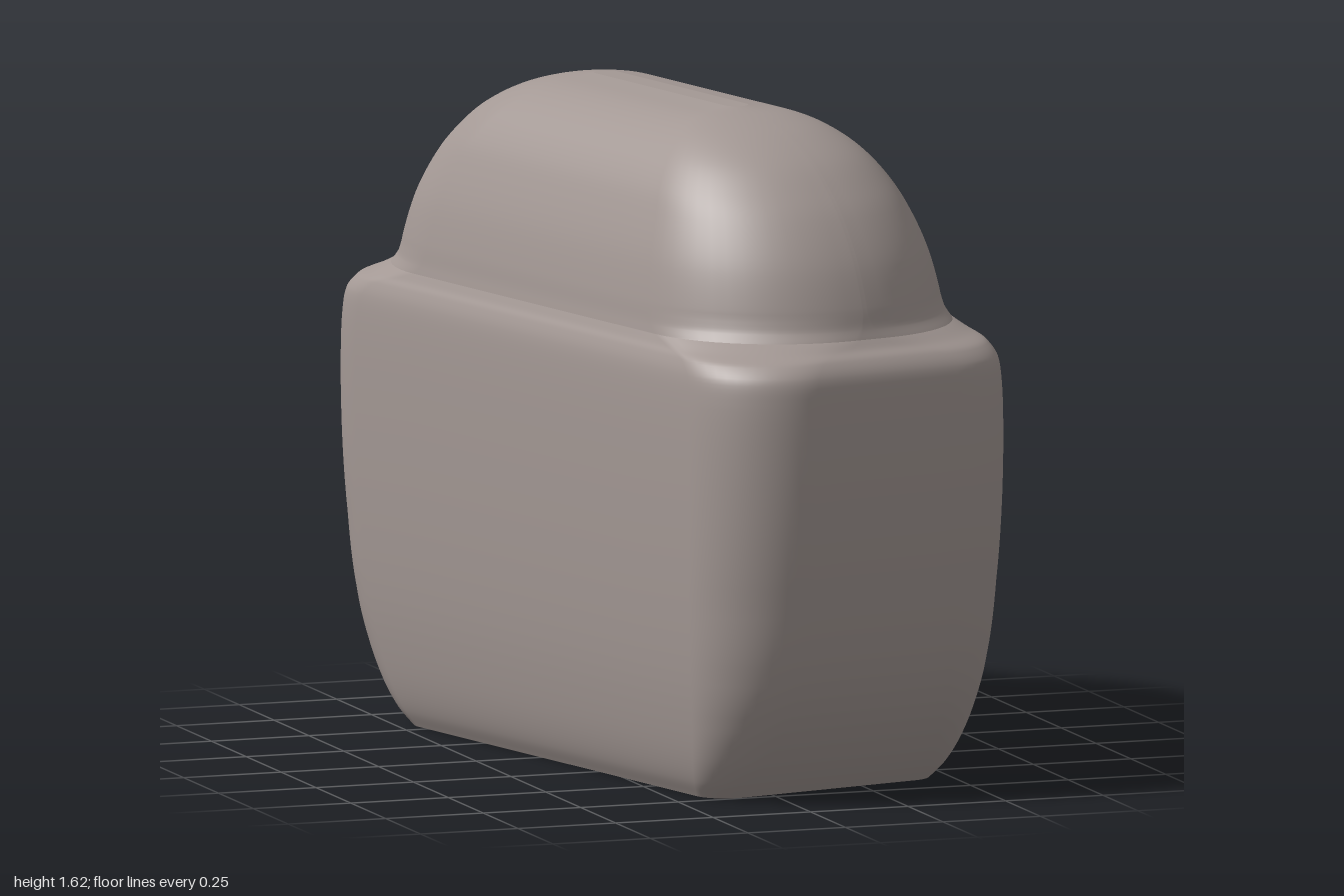
import * as THREE from 'three';

const CORNER_STEPS = 14;
const SIDE_STEPS = 6;

// Rounded rectangle outline in x/z; corner radii run +x front, -x front, -x back, +x back
function outline(a, b, r, bias) {
  const pts = [];
  const signs = [[1, 1], [-1, 1], [-1, -1], [1, -1]];
  const corners = signs.map(([sx, sz], q) => {
    const rr = Math.min(r * bias[q], a * 0.98, b * 0.98);
    const arc = [];
    for (let i = 0; i <= CORNER_STEPS; i++) {
      const t = (q + i / CORNER_STEPS) * Math.PI / 2;
      arc.push([sx * (a - rr) + rr * Math.cos(t), sz * (b - rr) + rr * Math.sin(t)]);
    }
    return arc;
  });
  corners.forEach((arc, q) => {
    pts.push(...arc);
    const p = arc[CORNER_STEPS], n = corners[(q + 1) % 4][0];
    for (let i = 1; i < SIDE_STEPS; i++) {
      const t = i / SIDE_STEPS;
      pts.push([p[0] + (n[0] - p[0]) * t, p[1] + (n[1] - p[1]) * t]);
    }
  });
  return pts;
}

// Smoothly interpolates rows of [y, halfWidth, halfLength, radius]
function refine(rows, count) {
  const size = new THREE.CatmullRomCurve3(rows.map(r => new THREE.Vector3(r[1], r[0], r[2])), false, 'centripetal');
  const out = [];
  for (let i = 0; i <= count; i++) {
    const t = i / count, f = t * (rows.length - 1);
    const k = Math.min(Math.floor(f), rows.length - 2);
    const p = size.getPoint(t);
    out.push([p.y, p.x, p.z, THREE.MathUtils.lerp(rows[k][3], rows[k + 1][3], f - k)]);
  }
  return out;
}

function loft(rows, biasAt) {
  const pos = [], idx = [];
  let n = 0;
  rows.forEach(([y, a, b, r]) => {
    const ring = outline(a, b, r, biasAt(y));
    n = ring.length;
    ring.forEach(([x, z]) => pos.push(x, y, z));
  });
  for (let j = 0; j < rows.length - 1; j++) {
    for (let i = 0; i < n; i++) {
      const p = j * n + i, q = j * n + (i + 1) % n;
      idx.push(p, p + n, q, q, p + n, q + n);
    }
  }
  const g = new THREE.BufferGeometry();
  g.setAttribute('position', new THREE.Float32BufferAttribute(pos, 3));
  g.setIndex(idx);
  g.computeVertexNormals();
  return g;
}

// Flat end face, facing up or down
function cap([y, a, b, r], bias, up) {
  const ring = outline(a, b, r, bias);
  const pos = [0, y, 0], idx = [];
  ring.forEach(([x, z]) => pos.push(x, y, z));
  for (let i = 0; i < ring.length; i++) {
    const p = 1 + i, q = 1 + (i + 1) % ring.length;
    idx.push(0, up ? q : p, up ? p : q);
  }
  const g = new THREE.BufferGeometry();
  g.setAttribute('position', new THREE.Float32BufferAttribute(pos, 3));
  g.setIndex(idx);
  g.computeVertexNormals();
  return g;
}

export function createModel() {
  const model = new THREE.Group();
  const taupe = new THREE.MeshStandardMaterial({ color: 0xa39894 });
  taupe.name = 'warm grey';

  // Lower block: narrow foot, bulging walls, rounded ledge
  const block = refine([
    [0, 0.325, 0.705, 0.08], [0.04, 0.348, 0.75, 0.1], [0.1, 0.368, 0.805, 0.13],
    [0.2, 0.388, 0.872, 0.17], [0.32, 0.404, 0.921, 0.2], [0.5, 0.417, 0.955, 0.22],
    [0.75, 0.425, 0.975, 0.225], [0.98, 0.425, 0.972, 0.225], [1.05, 0.42, 0.963, 0.23],
    [1.085, 0.41, 0.94, 0.25], [1.105, 0.4, 0.912, 0.3], [1.125, 0.392, 0.892, 0.35],
  ], 66);

  // Upper loaf: soft dome with fully rounded ends, sitting just inside the ledge
  const dome = refine([
    [1.125, 0.392, 0.892, 0.35], [1.15, 0.388, 0.882, 0.37], [1.2, 0.382, 0.87, 0.38],
    [1.3, 0.362, 0.832, 0.36], [1.4, 0.328, 0.768, 0.325], [1.46, 0.3, 0.712, 0.3],
    [1.52, 0.256, 0.638, 0.256], [1.57, 0.196, 0.54, 0.196], [1.6, 0.13, 0.44, 0.13],
    [1.618, 0.03, 0.32, 0.03],
  ], 54);

  // Corners of the block are slightly uneven and even out toward the dome
  const uneven = [0.95, 1, 1, 1.2];
  const biasAt = y => {
    const t = THREE.MathUtils.smoothstep(y, 1.05, 1.2);
    return uneven.map(v => v + (1 - v) * t);
  };

  const parts = [
    ['lowerBlock', loft(block, biasAt)],
    ['flatBase', cap(block[0], biasAt(0), false)],
    ['upperDome', loft(dome, biasAt)],
    ['domeCrown', cap(dome[dome.length - 1], biasAt(1.6), true)],
  ];
  parts.forEach(([name, geometry]) => {
    const mesh = new THREE.Mesh(geometry, taupe);
    mesh.name = name;
    mesh.rotation.y = THREE.MathUtils.degToRad(12.8);
    model.add(mesh);
  });
  return model;
}
